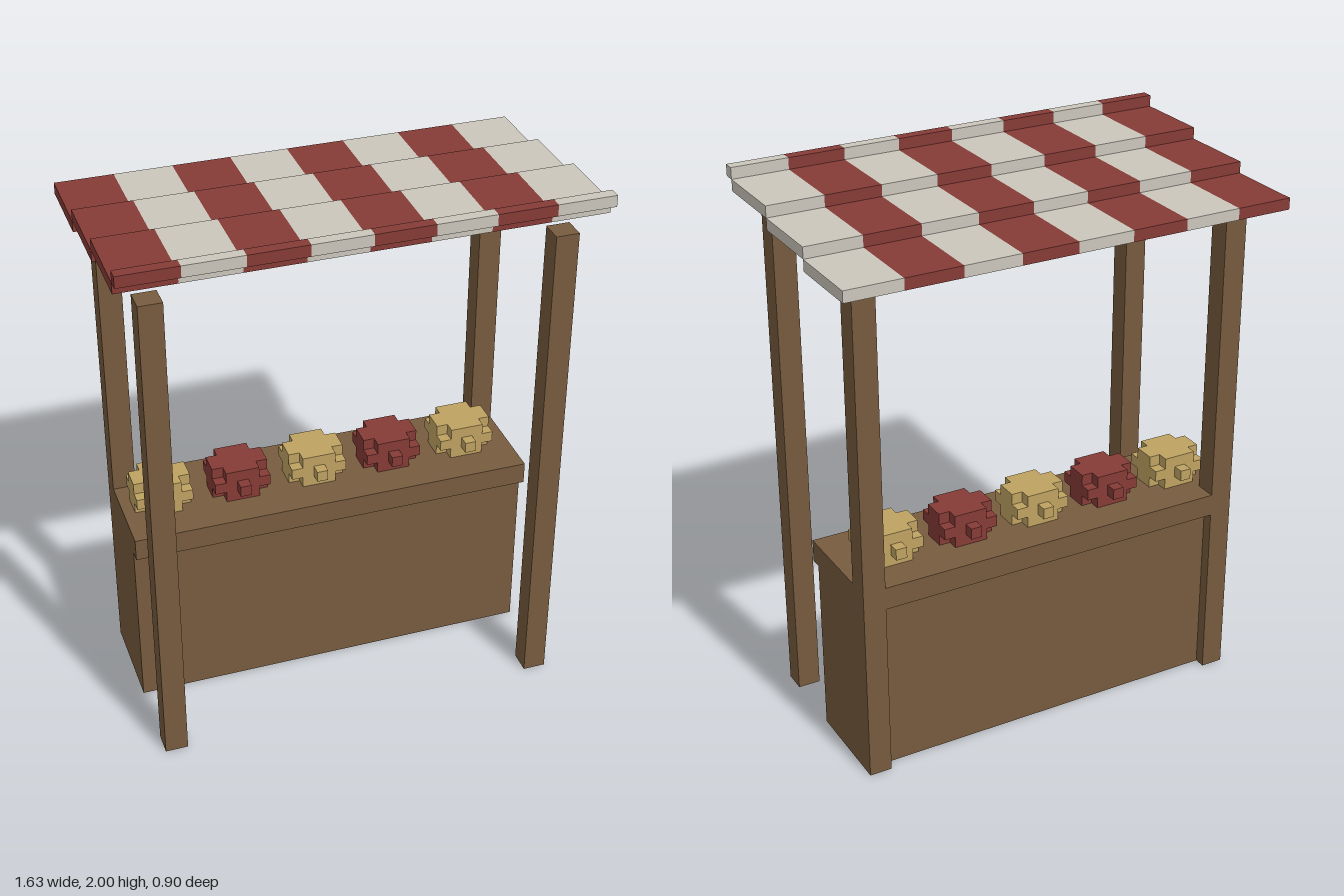
import * as THREE from 'three';

// One grid unit; the stall is 49 units tall
const U = 2 / 49;

export function createModel() {
  const mat = (name, color) => {
    const m = new THREE.MeshStandardMaterial({ color });
    m.name = name;
    return m;
  };
  const wood = mat('wood', 0x775b3e);
  const red = mat('red', 0x863b36);
  const cream = mat('cream', 0xcbc6bc);
  const gold = mat('gold', 0xbfa262);

  const model = new THREE.Group();
  model.name = 'marketStall';

  // Box given by its limits in grid units
  const block = (parent, name, material, [x0, x1], [y0, y1], [z0, z1]) => {
    const geo = new THREE.BoxGeometry((x1 - x0) * U, (y1 - y0) * U, (z1 - z0) * U);
    const mesh = new THREE.Mesh(geo, material);
    mesh.position.set((x0 + x1) * U / 2, (y0 + y1) * U / 2, (z0 + z1) * U / 2);
    mesh.name = name;
    parent.add(mesh);
  };
  const group = (name) => {
    const g = new THREE.Group();
    g.name = name;
    model.add(g);
    return g;
  };

  // Four corner posts; the back pair is joined to the counter
  for (const [side, x] of [['Right', [-18, -16]], ['Left', [16, 18]]]) {
    block(model, 'front' + side + 'Post', wood, x, [0, 45], [7, 9]);
    block(model, 'back' + side + 'Post', wood, x, [0, 45], [-8, -6]);
  }

  // Counter: back panel set in by one unit, top overhanging the front
  const counter = group('counter');
  block(counter, 'counterBody', wood, [-18, 18], [0, 16], [-7, 1]);
  block(counter, 'counterTop', wood, [-18, 18], [16, 18], [-8, 2]);

  // Striped awning in four steps rising to the front
  const awning = group('awning');
  [[-11, -4], [-4, 3], [3, 10], [10, 11]].forEach((z, step) => {
    for (let i = 0; i < 8; i++) {
      const x = -20 + i * 5;
      block(awning, 'awningStripe', i % 2 ? cream : red, [x, x + 5], [45 + step, 46 + step], z);
    }
  });

  // Row of blocky rounded goods
  for (let i = 0; i < 5; i++) {
    const x = -17 + i * 7;
    const color = i % 2 ? red : gold;
    const goods = group('goods');
    block(goods, 'wideCore', color, [x, x + 5], [18, 21], [-4, -2]);
    block(goods, 'deepCore', color, [x + 1, x + 4], [18, 21], [-5, -1]);
    block(goods, 'middleBand', color, [x, x + 5], [19, 20], [-5, -1]);
    block(goods, 'endKnobs', color, [x + 2, x + 3], [19, 20], [-6, 0]);
  }

  return model;
}
